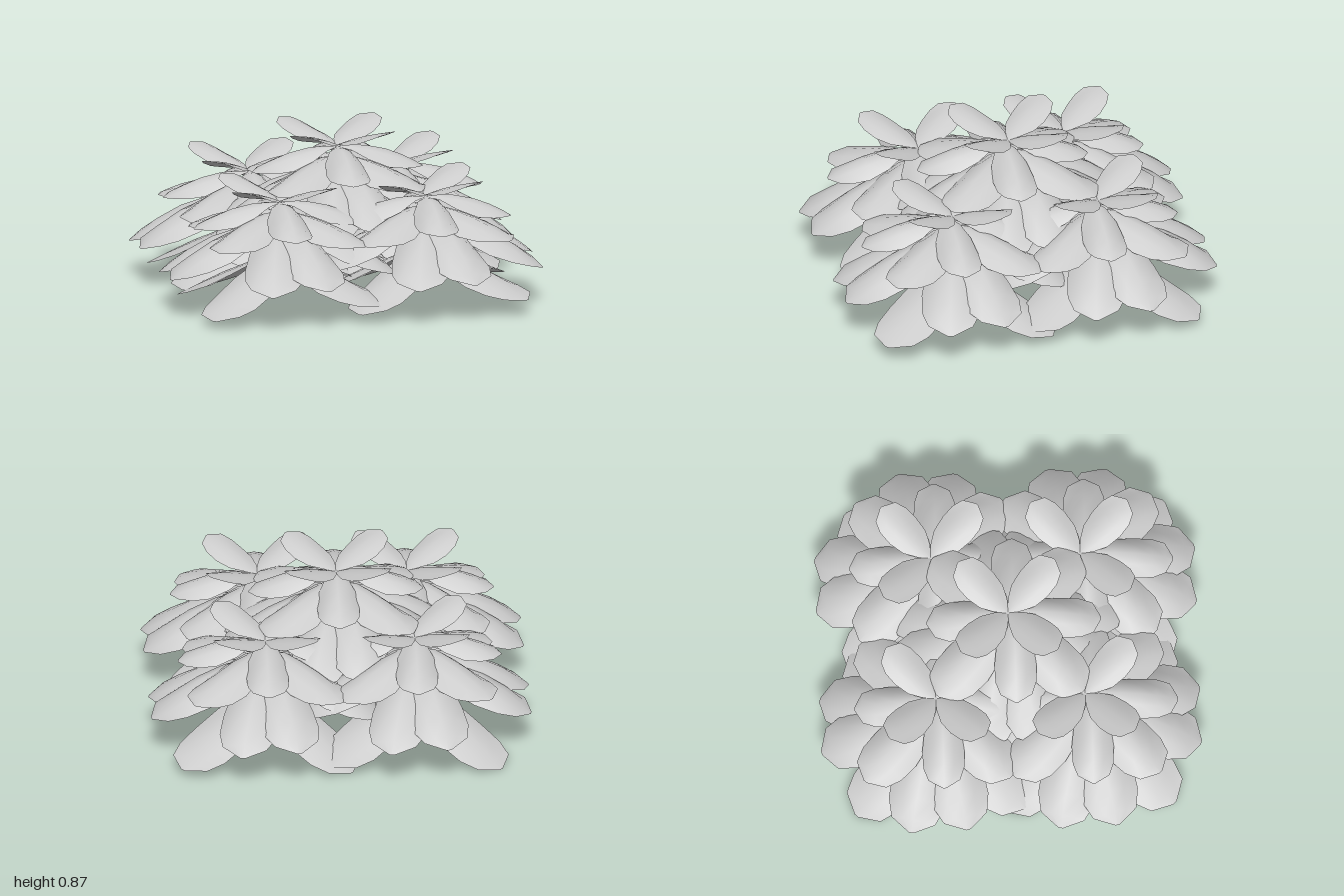
import * as THREE from 'three';

const material = new THREE.MeshStandardMaterial({ color: 0xcccccc, side: THREE.DoubleSide });

// Leaf outline: [distance along the leaf, share of the full half width]
const OUTLINE = [[0, 0.05], [0.15, 0.5], [0.33, 0.86], [0.56, 1], [0.76, 0.97], [0.91, 0.75], [1, 0.08]];
const COLS = 4;

// Arched blade from the origin along +z: height = rise * t + bend * t^2.
// The edges droop by cup around the middle and flatten out at the tip.
function leafGeometry({ length, halfWidth, rise, bend, cup }) {
  const pos = [], index = [];
  OUTLINE.forEach(([t, w], i) => {
    const droop = cup * w * Math.sin(Math.PI * t);
    for (let j = 0; j <= COLS; j++) {
      const u = (j / COLS) * 2 - 1;
      pos.push(u * w * halfWidth, rise * t + bend * t * t - droop * u * u, t * length);
      if (i < OUTLINE.length - 1 && j < COLS) {
        const a = i * (COLS + 1) + j, b = a + COLS + 1;
        index.push(a, b, a + 1, b, b + 1, a + 1);
      }
    }
  });
  const g = new THREE.BufferGeometry();
  g.setAttribute('position', new THREE.Float32BufferAttribute(pos, 3));
  g.setIndex(index);
  g.computeVertexNormals();
  return g;
}

// Whorls of four leaves, from the raised crown to the drooping skirt
const WHORLS = [
  { name: 'crownLeaf', y: 0, z: 0, turn: 45, tilt: 0, length: 0.355, halfWidth: 0.1, rise: 0.17, bend: -0.06, cup: 0.03 },
  { name: 'upperLeaf', y: 0, z: 0.03, turn: 0, tilt: 0, length: 0.455, halfWidth: 0.11, rise: 0.066, bend: -0.186, cup: 0.08 },
  { name: 'middleLeaf', y: -0.05, z: 0, turn: 45, tilt: 0, length: 0.54, halfWidth: 0.14, rise: 0.03, bend: -0.16, cup: 0.08 },
  { name: 'lowerLeafA', y: -0.11, z: 0, turn: 14, tilt: 0, length: 0.62, halfWidth: 0.155, rise: 0.085, bend: -0.335, cup: 0.1 },
  { name: 'lowerLeafB', y: -0.13, z: 0, turn: -14, tilt: 0, length: 0.62, halfWidth: 0.155, rise: 0.085, bend: -0.335, cup: 0.1 },
  { name: 'skirtLeaf', y: -0.275, z: 0, turn: 45, tilt: 0.045, length: 0.625, halfWidth: 0.16, rise: -0.16, bend: -0.09, cup: 0.05 },
].map((w) => ({ ...w, geometry: leafGeometry(w) }));

function rosette(name) {
  const plant = new THREE.Group();
  plant.name = name;
  for (const w of WHORLS) {
    const whorl = new THREE.Group();
    whorl.name = w.name + 'Whorl';
    whorl.position.set(0, w.y, w.z);
    whorl.rotation.set(-w.tilt, 0, w.tilt);
    for (let k = 0; k < 4; k++) {
      const leaf = new THREE.Mesh(w.geometry, material);
      leaf.name = w.name;
      leaf.rotation.y = THREE.MathUtils.degToRad(w.turn + k * 90);
      whorl.add(leaf);
    }
    plant.add(whorl);
  }
  return plant;
}

export function createModel() {
  const model = new THREE.Group();
  model.name = 'leafyShrub';

  // Four corner rosettes with a taller one in the middle
  const top = rosette('centreRosette');
  top.position.set(0, 0.78, 0);
  model.add(top);
  for (const x of [-1, 1]) {
    for (const z of [-1, 1]) {
      const plant = rosette((z > 0 ? 'front' : 'back') + (x > 0 ? 'Left' : 'Right') + 'Rosette');
      plant.position.set(x * 0.39, 0.58, z * 0.39);
      model.add(plant);
    }
  }

  // Rest the lowest leaf tips on the ground
  const floor = new THREE.Box3().setFromObject(model, true).min.y;
  for (const plant of model.children) plant.position.y -= floor;
  return model;
}
